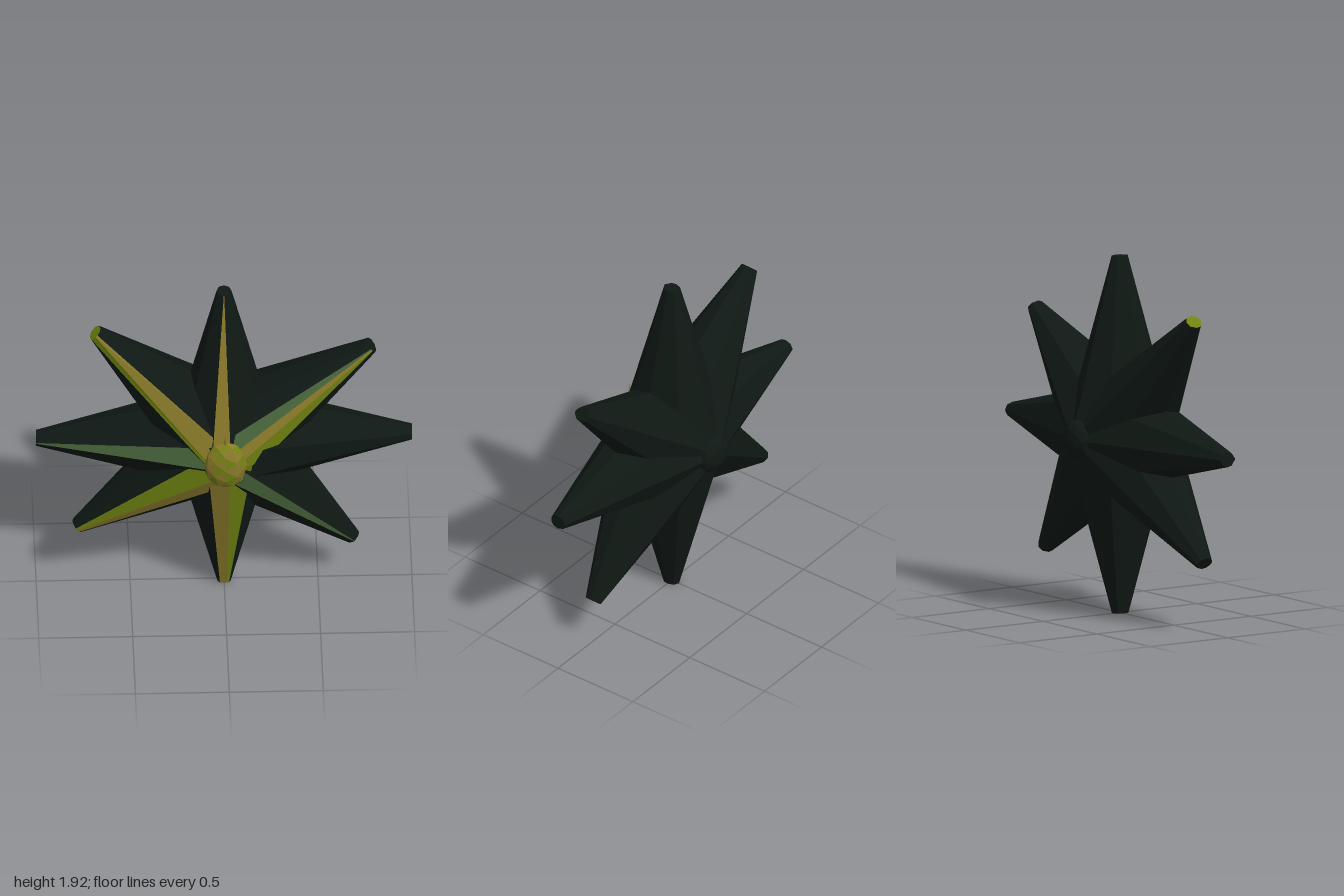
import * as THREE from 'three';

const DARK = 0x0f1814, GOLD = 0x8a7a2a, GREEN = 0x46633a, LIME = 0x6f8210;
const CENTER_Y = 0.96;
const rad = THREE.MathUtils.degToRad;

// Dark flanks and back shared by all spikes (degrees around the spike, 0 = front)
const FLANKS = [58, 90, 135, 180, 225, 270, 302];

// Each spike: direction, length, front facet edges at the base and tip, facet colours
const SPIKES = [
  { name: 'rightwardSpike', dir: 0, len: 1, base: [-20, 20], tip: [-20, 20], colors: [DARK] },
  { name: 'upperLeftSpike', dir: 36.7, len: 0.98, base: [-28, -5, 10, 28], tip: [-10, -6, 6, 12], colors: [LIME, GOLD, GREEN] },
  { name: 'topSpike', dir: 90, len: 0.965, base: [-6, 15], tip: [0, 4], colors: [GOLD] },
  { name: 'upperRightSpike', dir: 134.4, len: 0.98, base: [-18, 10, 14], tip: [-25, -5, 50], colors: [GOLD, LIME], cap: LIME },
  { name: 'leftwardSpike', dir: 180, len: 1, base: [-25, 3], tip: [-4, 4], colors: [GREEN] },
  { name: 'lowerRightSpike', dir: 217, len: 0.98, base: [-22, 8, 28], tip: [-20, 0, 25], colors: [LIME, GOLD] },
  { name: 'bottomSpike', dir: 270, len: 0.96, base: [-19, 5, 30], tip: [-35, 25, 40], colors: [GOLD, LIME] },
  { name: 'lowerLeftSpike', dir: 314.8, len: 0.98, base: [-12, 10], tip: [2, 8], colors: [GREEN] },
];

// One flat-shaded mesh for every colour in a list of coloured triangles
function facetGroup(name, triangles) {
  const group = new THREE.Group();
  group.name = name;
  const byColor = new Map();
  for (const { color, points } of triangles) {
    if (!byColor.has(color)) byColor.set(color, []);
    byColor.get(color).push(...points);
  }
  for (const [color, points] of byColor) {
    const geometry = new THREE.BufferGeometry().setFromPoints(points);
    geometry.computeVertexNormals();
    const mesh = new THREE.Mesh(geometry, new THREE.MeshStandardMaterial({ color, flatShading: true }));
    mesh.name = name + 'Facets';
    group.add(mesh);
  }
  return group;
}

// Tapered, blunt-ended faceted spike radiating from the centre
function makeSpike({ name, dir, len, base, tip, colors, cap = DARK }) {
  const a = rad(dir);
  const axis = new THREE.Vector3(Math.cos(a), Math.sin(a), 0);
  const side = new THREE.Vector3(-Math.sin(a), Math.cos(a), 0);
  const ring = (angles, d, rSide, rDepth) => angles.map((deg) => {
    const p = axis.clone().multiplyScalar(d).addScaledVector(side, rSide * Math.sin(rad(deg)));
    p.z = rDepth * Math.cos(rad(deg));
    return p;
  });
  const inner = ring([...base, ...FLANKS], 0, 0.287, 0.315);
  const outer = ring([...tip, ...FLANKS], len, 0.04, 0.048);
  const end = axis.clone().multiplyScalar(len);
  const triangles = [];
  inner.forEach((p, i) => {
    const j = (i + 1) % inner.length;
    const color = colors[i] ?? DARK;
    triangles.push({ color, points: [p, outer[i], outer[j]] });
    triangles.push({ color, points: [p, outer[j], inner[j]] });
    triangles.push({ color: cap, points: [end, outer[j], outer[i]] });
  });
  return facetGroup(name, triangles);
}

// Flattened faceted boss covering the meeting point of the spikes
function makeBoss(name, z, size, palette) {
  const geometry = new THREE.IcosahedronGeometry(1, 1);
  geometry.scale(...size);
  const pos = geometry.attributes.position;
  const triangles = [];
  for (let i = 0; i < pos.count; i += 3) {
    const points = [0, 1, 2].map((k) => new THREE.Vector3().fromBufferAttribute(pos, i + k));
    triangles.push({ color: palette[(i / 3) % palette.length], points });
  }
  const boss = facetGroup(name, triangles);
  boss.position.z = z;
  return boss;
}

export function createModel() {
  const model = new THREE.Group();
  model.name = 'eightPointedStar';
  const star = new THREE.Group();
  star.name = 'star';
  star.position.y = CENTER_Y;
  for (const spike of SPIKES) star.add(makeSpike(spike));

  // Coloured boss in front, dark boss behind
  const front = makeBoss('frontBoss', 0.275, [0.115, 0.15, 0.065], [LIME, GOLD, GOLD, LIME, GOLD]);
  front.position.y = 0.01;
  star.add(front, makeBoss('backBoss', -0.275, [0.11, 0.11, 0.065], [DARK]));

  // Small splinter rising from the front boss
  const splinter = new THREE.Mesh(
    new THREE.ConeGeometry(0.022, 0.12, 4),
    new THREE.MeshStandardMaterial({ color: GOLD, flatShading: true }));
  splinter.name = 'splinter';
  splinter.position.set(0, 0.15, 0.28);
  star.add(splinter);

  model.add(star);
  return model;
}
